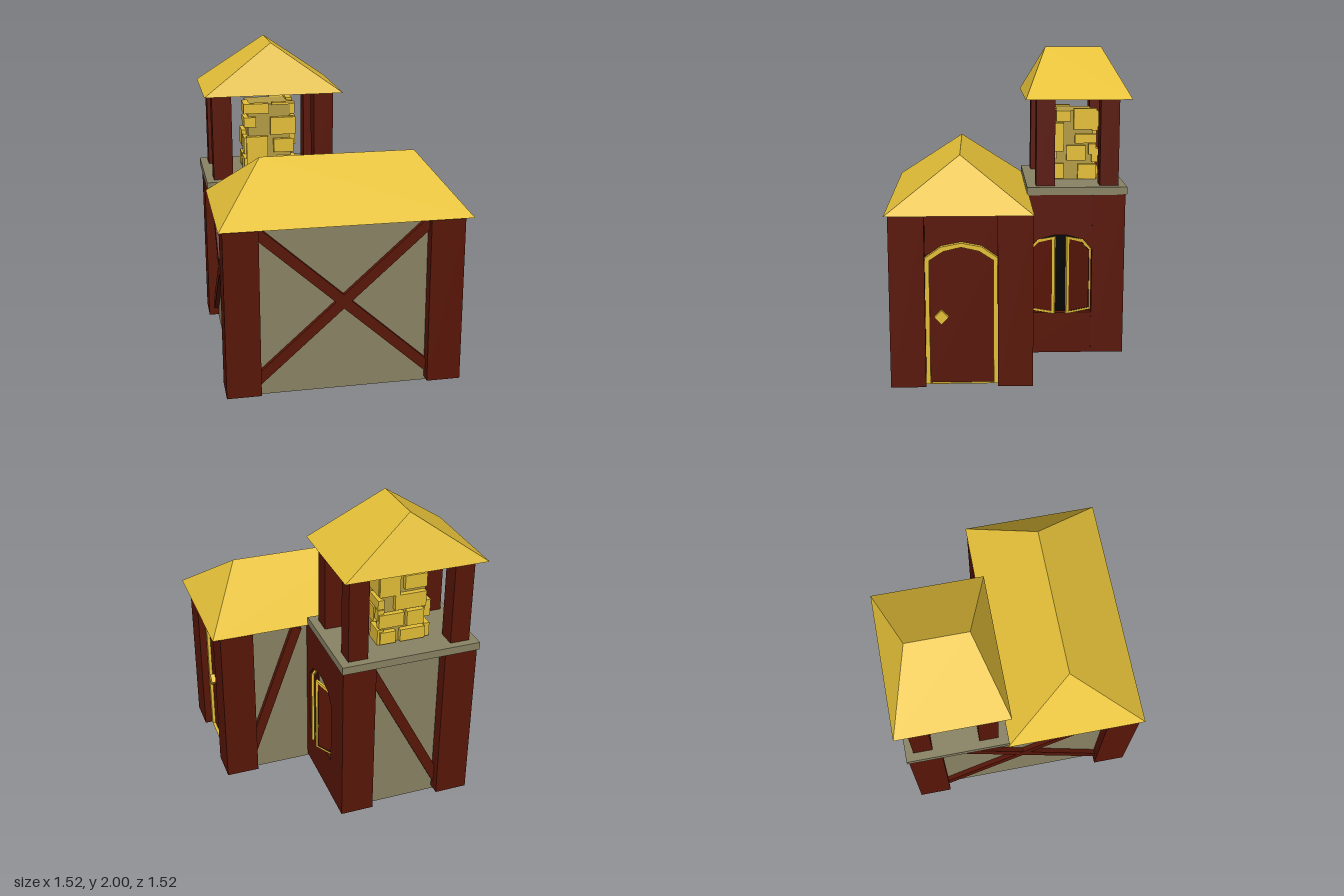
import * as THREE from 'three';
import { ConvexGeometry } from 'three/addons/geometries/ConvexGeometry.js';

const paint = (color, side = THREE.FrontSide) => {
  const m = new THREE.MeshStandardMaterial({ side });
  m.color.set(color);
  return m;
};
const RED = paint(0x591608), GREY = paint(0x8a8365), WALL = paint(0x8a8365, THREE.DoubleSide);
const GOLD = paint(0xe5c038), CORE = paint(0xb59c45), BLACK = paint(0x000000, THREE.DoubleSide);

export function createModel() {
  const model = new THREE.Group();

  const add = (name, geometry, material, parent = model) => {
    const mesh = new THREE.Mesh(geometry, material);
    mesh.name = name;
    parent.add(mesh);
    return mesh;
  };

  // Box given by its limits on each axis
  const block = (name, [x0, x1], [y0, y1], [z0, z1], material, parent) => {
    const mesh = add(name, new THREE.BoxGeometry(x1 - x0, y1 - y0, z1 - z0), material, parent);
    mesh.position.set((x0 + x1) / 2, (y0 + y1) / 2, (z0 + z1) / 2);
  };

  // Upright panel facing +x, drawn in (-z, y) and extruded from x0 to x1
  const vectors = (pts) => pts.map(([u, y]) => new THREE.Vector2(u, y));
  const panel = (name, pts, x0, x1, material, hole, parent) => {
    const shape = new THREE.Shape(vectors(pts));
    if (hole) shape.holes.push(new THREE.Path(vectors(hole)));
    const geometry = new THREE.ExtrudeGeometry(shape, { depth: x1 - x0, bevelEnabled: false });
    geometry.rotateY(Math.PI / 2).translate(x0, 0, 0);
    add(name, geometry, material, parent);
  };

  // Hipped roof with a ridge along the line from a to b
  const hipRoof = (name, [x0, x1], [z0, z1], eave, a, b) => {
    const pts = [[x0, eave, z0], [x1, eave, z0], [x1, eave, z1], [x0, eave, z1], a, b];
    add(name, new ConvexGeometry(pts.map((p) => new THREE.Vector3(...p))), GOLD);
  };

  // Thin plaster walls ending inside the posts, open below
  const plaster = (name, [ax, az], [bx, bz]) => {
    const length = Math.hypot(bx - ax, bz - az);
    const wall = add(name, new THREE.PlaneGeometry(length, 1.08), WALL);
    wall.position.set((ax + bx) / 2, 0.54, (az + bz) / 2);
    wall.rotation.y = -Math.atan2(bz - az, bx - ax);
  };
  plaster('frontWall', [-0.56, 0.665], [0.59, 0.665]);
  plaster('innerBackWall', [0.59, -0.04], [0.09, -0.04]);
  plaster('towerBackWall', [0.0, -0.65], [-0.56, -0.65]);
  plaster('leftWall', [-0.67, -0.58], [-0.67, 0.55]);

  // Heavy corner posts
  const post = 0.21;
  for (const [x, z] of [[-0.737, 0.53], [0.502, 0.53], [0.502, -0.11], [-0.737, -0.73], [-0.08, -0.73]]) {
    block('cornerPost', [x, x + post], [0.027, 1.08], [z, z + post], RED);
  }

  // Diagonal timber braces on the walls
  const brace = (a, b) => {
    const from = new THREE.Vector3(...a), to = new THREE.Vector3(...b);
    const flat = Math.hypot(to.x - from.x, to.z - from.z);
    const beam = add('brace', new THREE.BoxGeometry(from.distanceTo(to), 0.065, 0.03), RED);
    beam.position.copy(from).add(to).multiplyScalar(0.5);
    beam.rotation.set(0, -Math.atan2(to.z - from.z, to.x - from.x), Math.atan2(to.y - from.y, flat), 'YXZ');
  };
  for (const [low, high] of [[0.1, 1.06], [1.06, 0.1]]) {
    brace([-0.55, low, 0.681], [0.52, high, 0.681]);
    brace([-0.686, low, -0.54], [-0.686, high, 0.55]);
  }
  brace([-0.55, 0.1, -0.666], [-0.06, 1.04, -0.666]);
  brace([0.55, 0.09, -0.056], [0.2, 1.05, -0.056]);

  // Arched door with frame and diamond knob
  block('doorWall', [0.595, 0.63], [0.027, 1.08], [0.1, 0.53], RED);
  const arch = (w, base, shoulder, mid, top) => [
    [-w, base], [w, base], [w, shoulder], [w * 0.56, mid], [0, top], [-w * 0.56, mid], [-w, shoulder],
  ].map(([u, y]) => [u - 0.315, y]);
  const doorHole = arch(0.19, 0.031, 0.795, 0.85, 0.875);
  panel('door', doorHole, 0.63, 0.645, RED);
  panel('doorFrame', arch(0.215, 0.028, 0.81, 0.877, 0.9), 0.63, 0.665, GOLD, doorHole);
  const knob = add('doorKnob', new THREE.BoxGeometry(0.03, 0.06, 0.06), GOLD);
  knob.position.set(0.66, 0.448, 0.435);
  knob.rotation.x = Math.PI / 4;

  // Tower wall with window opening and dark room behind it
  panel('windowWall', [[0.05, 0.027], [0.725, 0.027], [0.725, 1.085], [0.05, 1.085]], 0.09, 0.129, RED,
    [[0.11, 0.3], [0.52, 0.3], [0.52, 0.72], [0.46, 0.79], [0.35, 0.82], [0.28, 0.82], [0.17, 0.79], [0.11, 0.72]]);
  const dark = add('darkInterior', new THREE.PlaneGeometry(0.46, 0.95), BLACK);
  dark.position.set(-0.1, 0.51, -0.315);
  dark.rotation.y = Math.PI / 2;

  // Pair of shutters standing ajar
  for (const s of [1, -1]) {
    const shutter = new THREE.Group();
    shutter.name = 'shutter';
    shutter.position.set(0.068, 0, -0.315 + s * 0.205);
    shutter.rotation.y = -s * Math.PI / 6;
    model.add(shutter);
    const flip = (pts) => pts.map(([u, y]) => [u * s, y]);
    const inner = flip([[0.018, 0.32], [0.178, 0.32], [0.178, 0.8], [0.08, 0.768], [0.018, 0.705]]);
    panel('shutterBoard', inner, -0.004, 0.004, RED, null, shutter);
    panel('shutterFrame', flip([[0, 0.305], [0.196, 0.305], [0.196, 0.82], [0.07, 0.785], [0, 0.715]]),
      -0.008, 0.008, GOLD, inner, shutter);
  }

  // Roofs, tower deck and tower posts
  hipRoof('mainRoof', [-0.76, 0.76], [-0.112, 0.76], 1.081, [-0.46, 1.4, 0.32], [0.5, 1.4, 0.32]);
  block('towerDeck', [-0.75, 0.138], [1.082, 1.132], [-0.74, -0.1], GREY);
  for (const x of [-0.7, -0.04]) {
    for (const z of [-0.28, -0.69]) {
      block('towerPost', [x, x + 0.125], [1.13, 1.71], [z, z + 0.12], RED);
    }
  }
  hipRoof('towerRoof', [-0.75, 0.138], [-0.765, -0.09], 1.688, [-0.305, 2, -0.24], [-0.305, 2, -0.61]);

  // Stone chimney: core with raised stones, each [start, end, bottom, top]
  const chimney = new THREE.Group();
  chimney.name = 'chimney';
  model.add(chimney);
  block('chimneyCore', [-0.455, -0.175], [1.13, 1.59], [-0.55, -0.3], CORE, chimney);
  const rightStones = [[-0.4, -0.305, 1.52, 1.59], [-0.57, -0.42, 1.465, 1.605], [-0.355, -0.28, 1.32, 1.51],
    [-0.57, -0.43, 1.375, 1.435], [-0.5, -0.375, 1.26, 1.36], [-0.355, -0.28, 1.14, 1.24],
    [-0.57, -0.45, 1.135, 1.235], [-0.57, -0.52, 1.3, 1.37]];
  const leftStones = [[-0.42, -0.28, 1.535, 1.6], [-0.4, -0.3, 1.445, 1.51], [-0.57, -0.44, 1.28, 1.39],
    [-0.41, -0.29, 1.26, 1.37], [-0.57, -0.46, 1.14, 1.23], [-0.43, -0.29, 1.14, 1.23]];
  const frontStones = [[-0.485, -0.32, 1.535, 1.6], [-0.485, -0.405, 1.445, 1.51], [-0.31, -0.145, 1.39, 1.505],
    [-0.3, -0.15, 1.59, 1.605], [-0.47, -0.33, 1.17, 1.38], [-0.27, -0.15, 1.14, 1.24], [-0.29, -0.16, 1.27, 1.36]];
  const backStones = [[-0.45, -0.31, 1.49, 1.58], [-0.28, -0.15, 1.46, 1.59], [-0.45, -0.25, 1.36, 1.46],
    [-0.44, -0.33, 1.24, 1.34], [-0.31, -0.15, 1.25, 1.34], [-0.45, -0.29, 1.14, 1.22], [-0.26, -0.16, 1.14, 1.22]];
  const lay = (stones, toBlock) => stones.forEach(([a, b, y0, y1]) => {
    const [x, z] = toBlock([a, b]);
    block('stone', x, [y0, y1], z, GOLD, chimney);
  });
  lay(rightStones, (span) => [[-0.185, -0.145], span]);
  lay(leftStones, (span) => [[-0.485, -0.445], span]);
  lay(frontStones, (span) => [span, [-0.31, -0.268]]);
  lay(backStones, (span) => [span, [-0.582, -0.54]]);
  return model;
}
